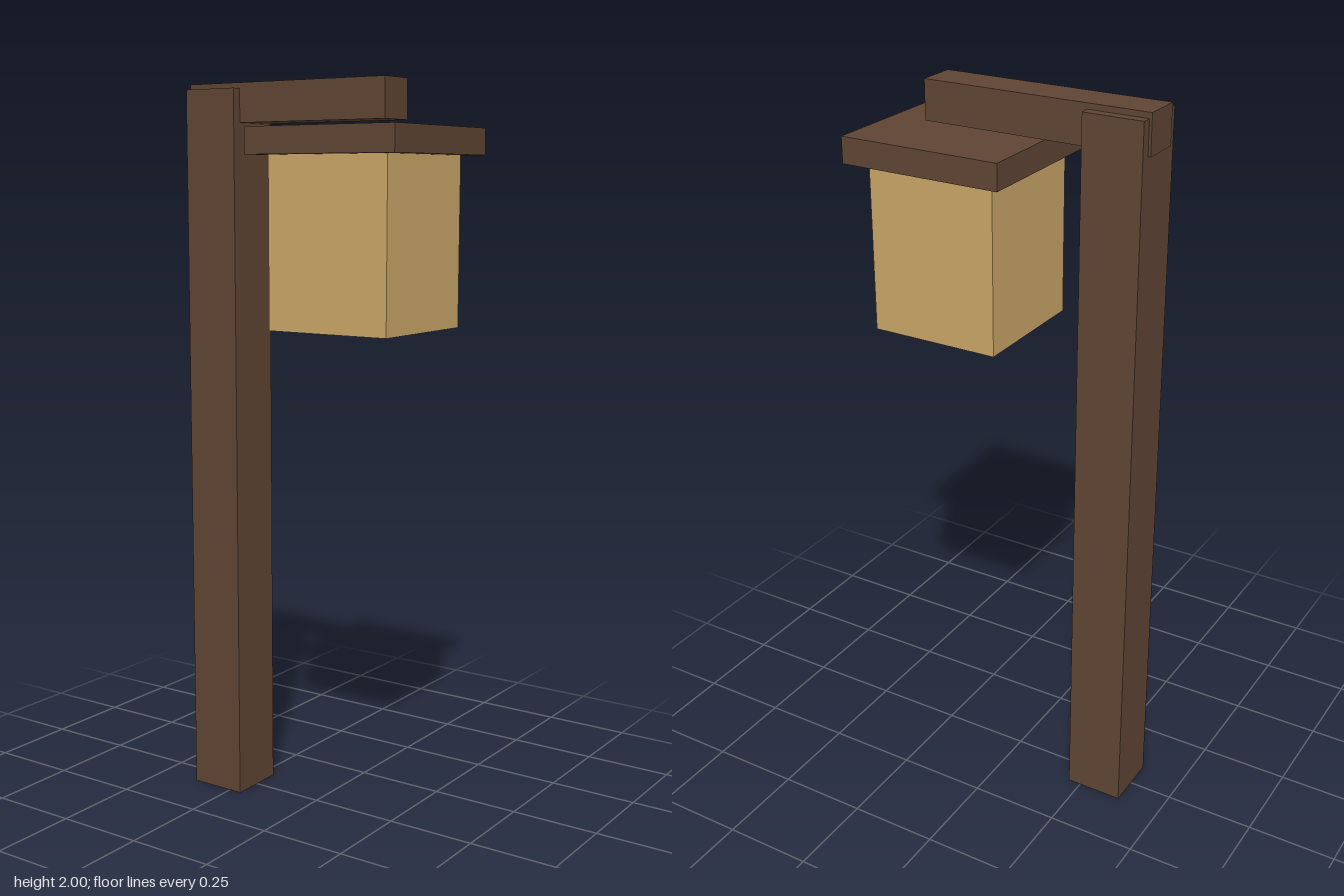
import * as THREE from 'three';

export function createModel() {
  const model = new THREE.Group();
  model.name = 'lanternPost';

  const wood = new THREE.MeshStandardMaterial({ color: 0x5e4433 });
  wood.name = 'dark wood';
  const glow = new THREE.MeshStandardMaterial({ color: 0xc8a566 });
  glow.name = 'warm lantern';

  // Adds a box spanning x0..x1 and y0..y1, centred on z = 0
  const addBox = (name, material, x0, x1, y0, y1, depth) => {
    const mesh = new THREE.Mesh(new THREE.BoxGeometry(x1 - x0, y1 - y0, depth), material);
    mesh.name = name;
    mesh.position.set((x0 + x1) / 2, (y0 + y1) / 2, 0);
    model.add(mesh);
  };

  // Upright post and the arm that passes through its top
  addBox('post', wood, -0.375, -0.213, 0, 1.985, 0.162);
  addBox('arm', wood, -0.382, 0.246, 1.895, 2, 0.108);

  // Lantern under its overhanging cap
  addBox('lanternCap', wood, -0.068, 0.382, 1.807, 1.877, 0.45);
  addBox('lantern', glow, -0.026, 0.334, 1.356, 1.807, 0.36);

  return model;
}
